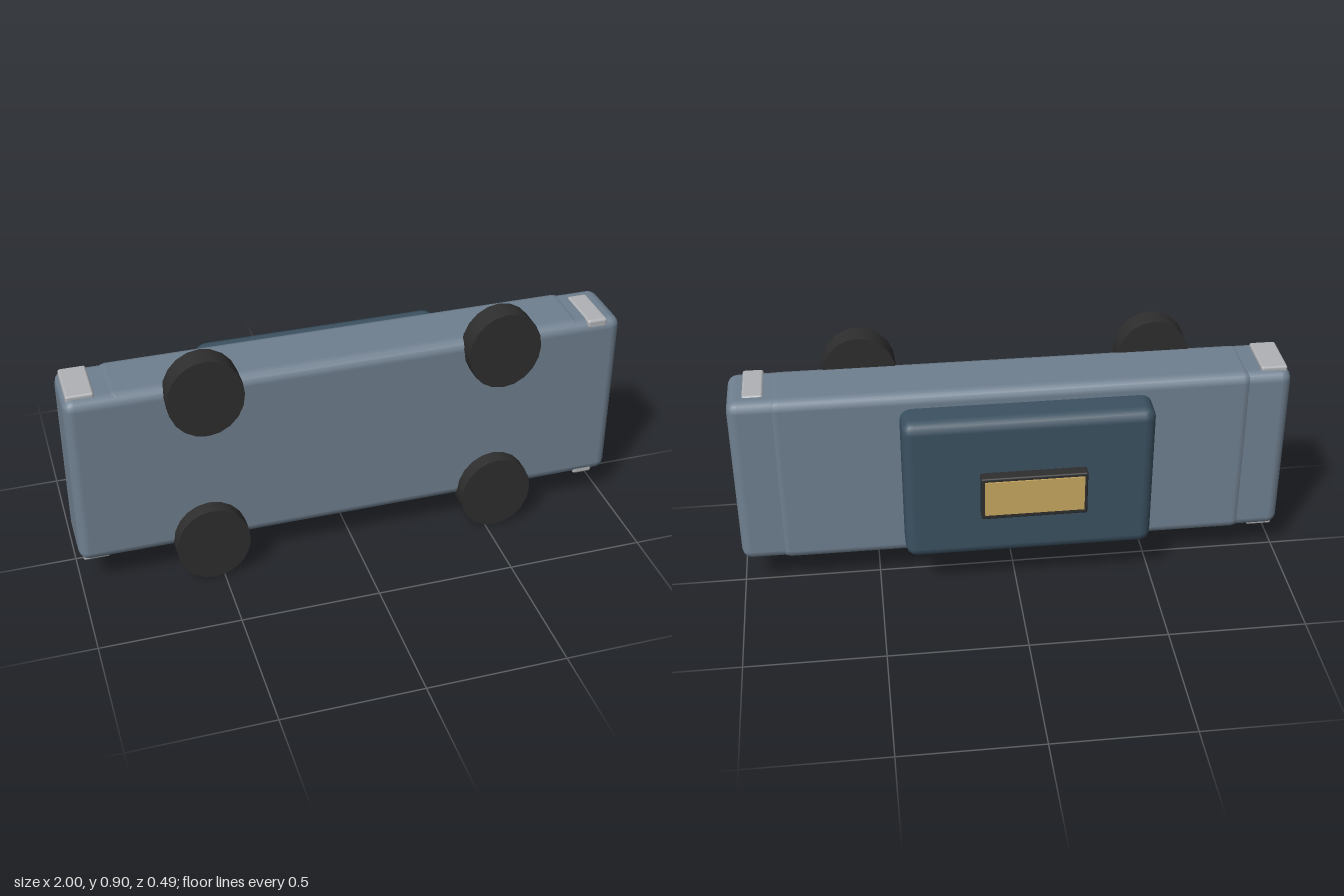
import * as THREE from 'three';
import { RoundedBoxGeometry } from 'three/addons/geometries/RoundedBoxGeometry.js';

function makeMaterial(name, color) {
  const m = new THREE.MeshStandardMaterial({ color });
  m.name = name;
  return m;
}

export function createModel() {
  const model = new THREE.Group();
  model.name = 'toyCarOnItsSide';

  const paint = makeMaterial('slate paint', 0x708090);
  const cabinPaint = makeMaterial('dark teal', 0x3b5161);
  const rubber = makeMaterial('black rubber', 0x2e2e2e);
  const silver = makeMaterial('silver', 0xb0b2b5);
  const amber = makeMaterial('amber', 0xc8a860);

  // Rounded block given by its extents on each axis
  function block(name, material, [x0, x1], [y0, y1], [z0, z1], radius) {
    const size = [x1 - x0, y1 - y0, z1 - z0];
    const geometry = radius
      ? new RoundedBoxGeometry(...size, 2, radius)
      : new THREE.BoxGeometry(...size);
    const mesh = new THREE.Mesh(geometry, material);
    mesh.name = name;
    mesh.position.set((x0 + x1) / 2, (y0 + y1) / 2, (z0 + z1) / 2);
    model.add(mesh);
    return mesh;
  }

  // Body, with a slightly raised middle section
  block('body', paint, [-1, 1], [0.122, 0.785], [-0.055, 0.19], 0.038);
  block('bodyDeck', paint, [-0.86, 0.86], [0.119, 0.788], [-0.061, 0.187], 0.038);

  // Cabin, facing the back
  block('cabin', cabinPaint, [-0.49, 0.405], [0.17, 0.735], [-0.18, 0.03], 0.042);

  // Bumper bars wrapped across both ends
  block('rearBumper', silver, [-0.985, -0.89], [0.11, 0.797], [-0.027, 0.16], 0.008);
  block('frontBumper', silver, [0.87, 0.945], [0.12, 0.79], [-0.005, 0.186], 0.01);

  // Roof sign with its amber panel
  block('roofSign', rubber, [-0.24, 0.137], [0.368, 0.538], [-0.239, -0.194], 0.006);
  block('roofSignPanel', amber, [-0.228, 0.125], [0.388, 0.525], [-0.244, -0.236]);

  // Four slightly oval wheels on the front side
  const wheelGeometry = new THREE.CylinderGeometry(1, 1, 0.085, 20);
  wheelGeometry.rotateX(Math.PI / 2);
  wheelGeometry.scale(0.133, 0.1465, 1);
  for (const x of [-0.533, 0.533]) {
    for (const y of [0.1465, 0.757]) {
      const wheel = new THREE.Mesh(wheelGeometry, rubber);
      wheel.name = 'wheel';
      wheel.position.set(x, y, 0.202);
      model.add(wheel);
    }
  }

  return model;
}
